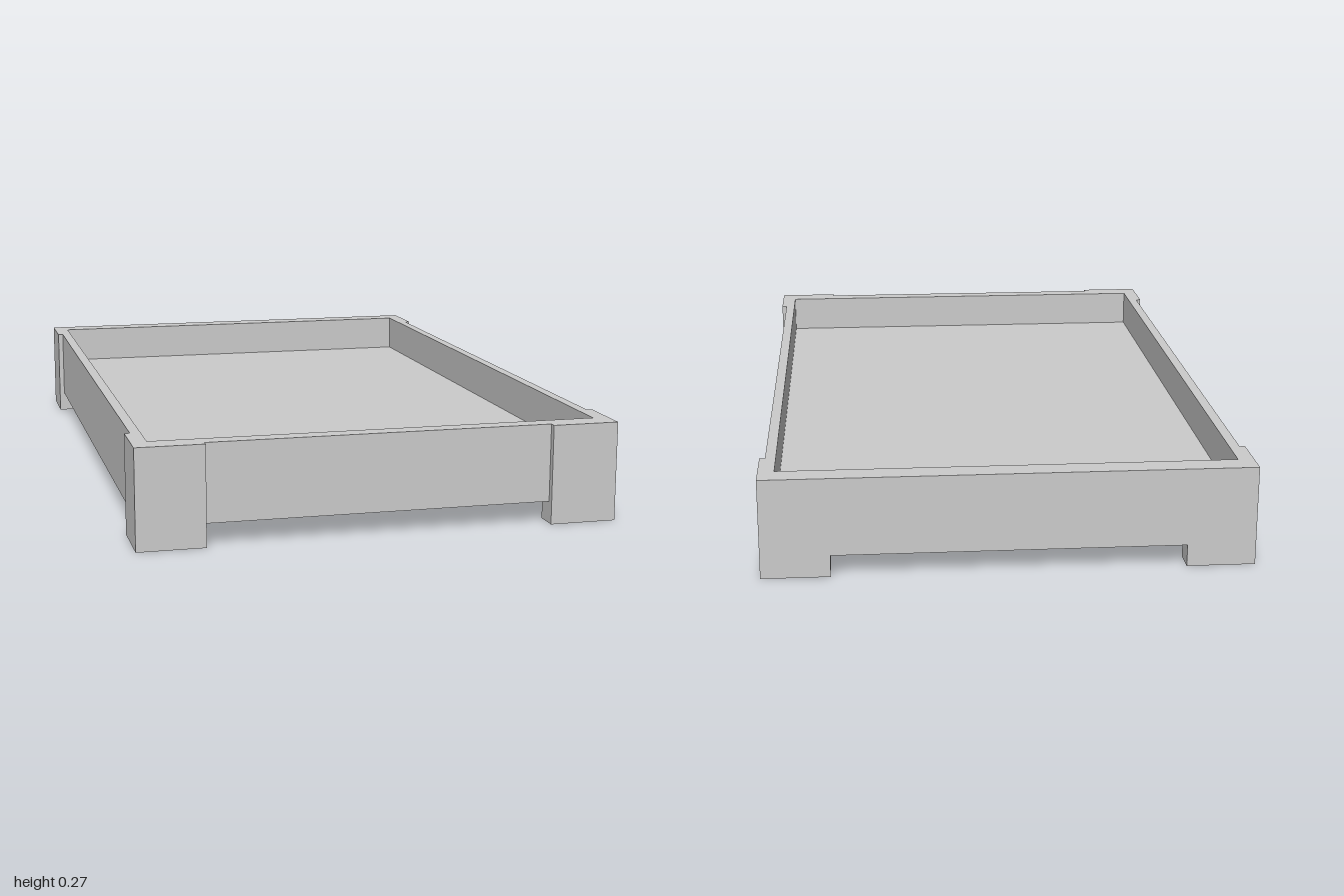
import * as THREE from 'three';

const X = 0.648, Z = 1;                        // outer corners
const WALL_X = 0.633, FRONT_Z = 0.982;         // recessed wall faces
const IN_X = 0.605, IN_Z = 0.934;              // inner cavity
const POST_X = 0.466, POST_Z = 0.83;           // where the corner posts end
const TOP = 0.27, BASE = 0.059, FLOOR = 0.16;

const toShape = (pts, Type = THREE.Shape) => new Type(pts.map(([x, z]) => new THREE.Vector2(x, z)));

// Plan outline (x, z) extruded vertically from y0 to y1
function slab(name, shape, y0, y1, material) {
  const geo = new THREE.ExtrudeGeometry(shape, { depth: y1 - y0, bevelEnabled: false });
  geo.rotateX(Math.PI / 2).translate(0, y1, 0);
  const mesh = new THREE.Mesh(geo, material);
  mesh.name = name;
  return mesh;
}

export function createModel() {
  const group = new THREE.Group();
  group.name = 'tray';
  const material = new THREE.MeshStandardMaterial({ color: 0xcccccc, flatShading: true });

  // Rim: side and front walls step in between the corners, the back is flush
  const half = [
    [POST_X, FRONT_Z], [POST_X, Z], [X, Z], [X, POST_Z],
    [WALL_X, POST_Z], [WALL_X, -POST_Z], [X, -POST_Z], [X, -Z],
  ];
  const mirrored = half.map(([x, z]) => [-x, z]).reverse();
  const rim = toShape([...half, ...mirrored]);
  // The hole winds opposite to the outline so the inner walls face the cavity
  rim.holes.push(toShape([[-IN_X, -IN_Z], [IN_X, -IN_Z], [IN_X, IN_Z], [-IN_X, IN_Z]], THREE.Path));
  group.add(slab('rim', rim, BASE, TOP, material));

  // Floor panel inside the rim
  const floor = new THREE.Mesh(new THREE.BoxGeometry(2 * IN_X, FLOOR - BASE, 2 * IN_Z), material);
  floor.name = 'floor';
  floor.position.y = (FLOOR + BASE) / 2;
  group.add(floor);

  // L-shaped feet continuing the corner posts to the ground
  for (const sx of [-1, 1]) for (const sz of [-1, 1]) {
    const foot = [[X, Z], [X, POST_Z], [IN_X, POST_Z], [IN_X, IN_Z], [POST_X, IN_Z], [POST_X, Z]];
    const name = (sz > 0 ? 'front' : 'back') + (sx > 0 ? 'Left' : 'Right') + 'Foot';
    group.add(slab(name, toShape(foot.map(([x, z]) => [sx * x, sz * z])), 0, BASE, material));
  }
  return group;
}
